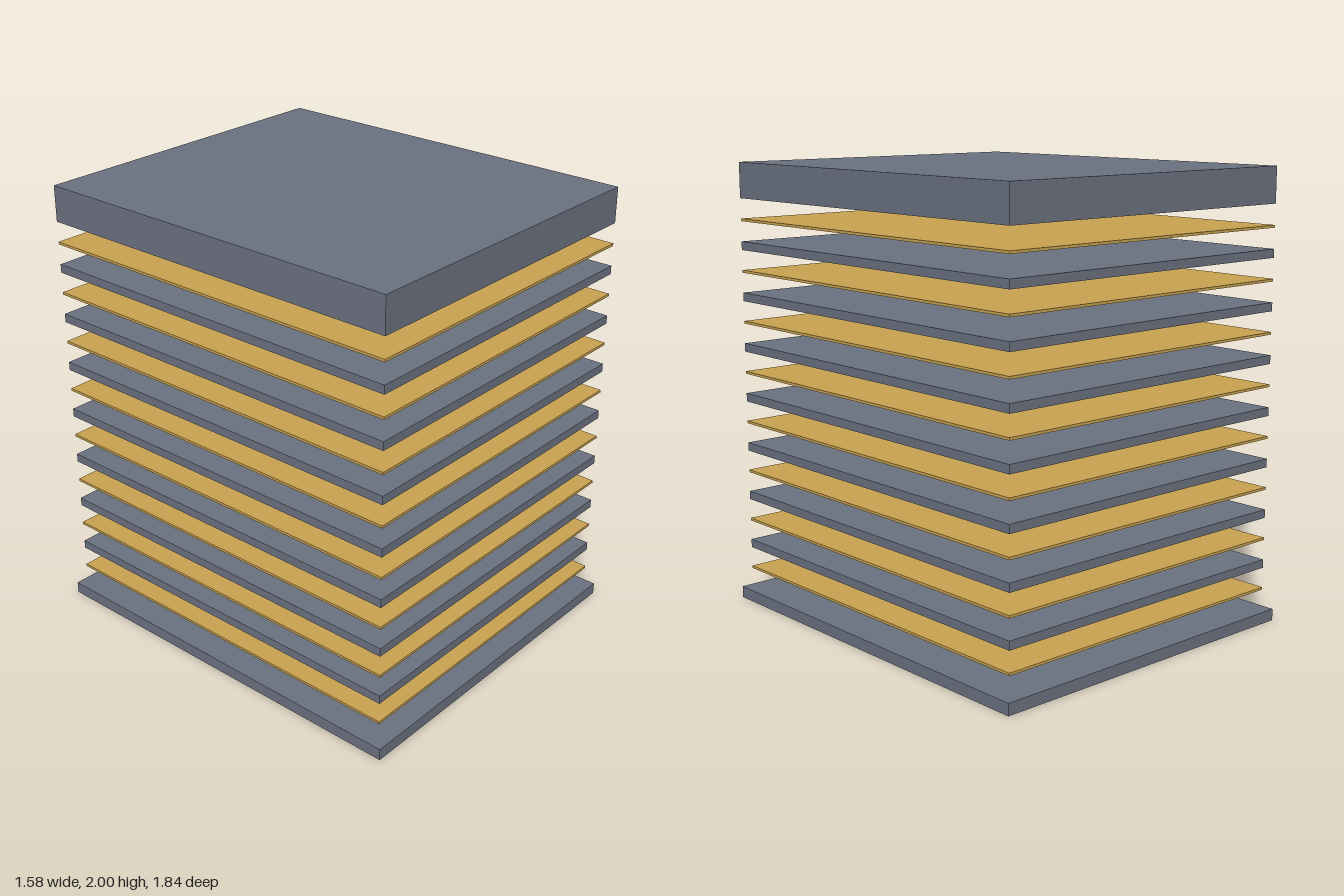
import * as THREE from 'three';

export function createModel() {
  const model = new THREE.Group();
  model.name = 'layeredStack';

  const slate = new THREE.MeshStandardMaterial({ color: 0x6b7280 });
  slate.name = 'slate';
  const gold = new THREE.MeshStandardMaterial({ color: 0xc8a250 });
  gold.name = 'gold';

  const width = 1.51, depth = 1.768;   // footprint of the floating layers
  const gap = 0.0895, sheet = 0.0115, slab = 0.038, baseHeight = 0.052;
  const layers = 8;

  // Each layer is placed by its bottom height
  function addLayer(name, bottom, height, material, w = width, d = depth) {
    const mesh = new THREE.Mesh(new THREE.BoxGeometry(w, height, d), material);
    mesh.name = name;
    mesh.position.y = bottom + height / 2;
    model.add(mesh);
    return bottom + height;
  }

  // Slightly wider base plate
  let y = addLayer('basePlate', 0, baseHeight, slate, 1.58, 1.836);

  // Alternating thin sheets and slabs, ending with the thick top block
  for (let i = 1; i <= layers; i++) {
    y = addLayer(`goldSheet${i}`, y + gap, sheet, gold) + gap;
    if (i < layers) y = addLayer(`slab${i}`, y, slab, slate);
    else addLayer('topBlock', y, 2 - y, slate);
  }
  return model;
}
